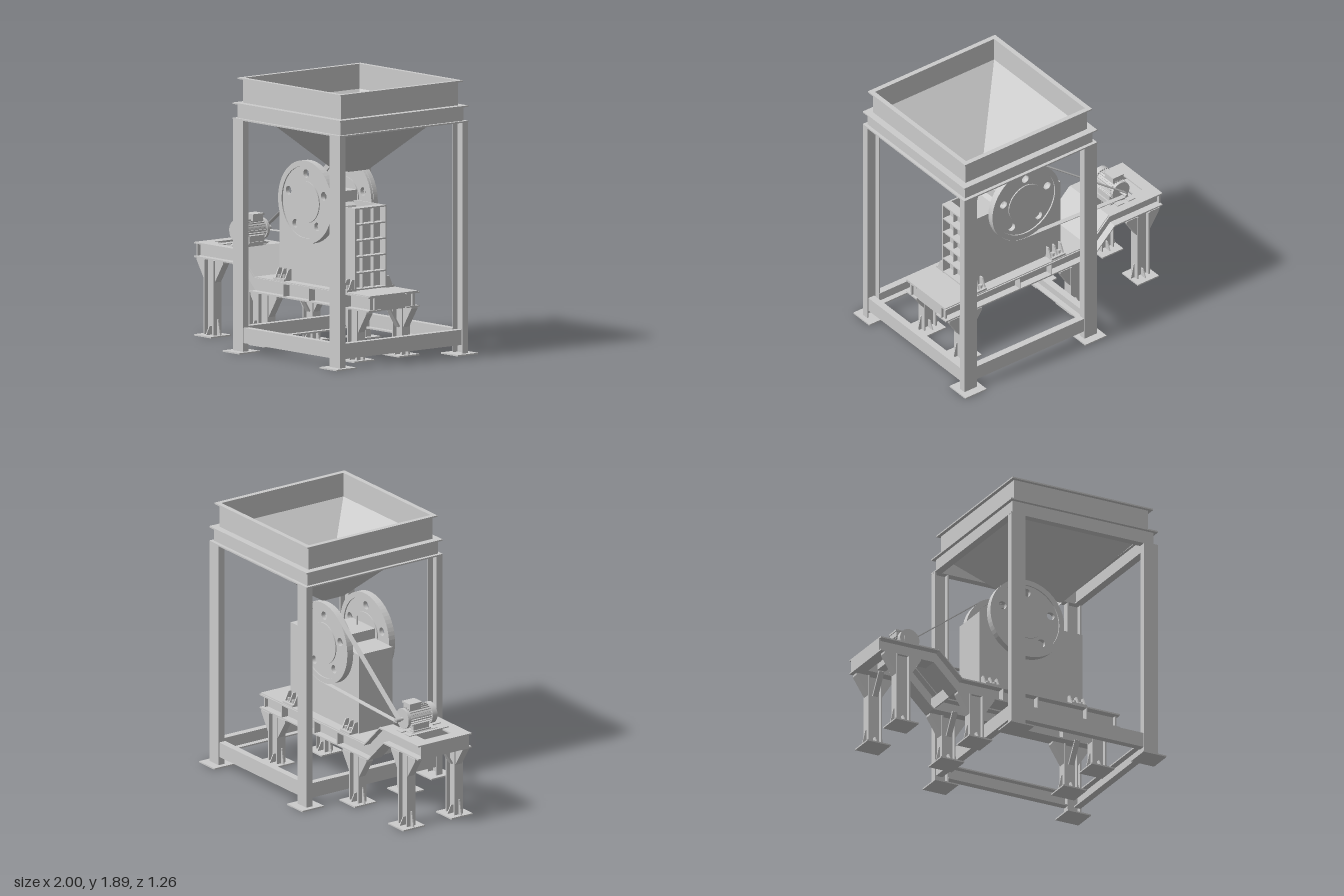
import * as THREE from 'three';

const grey = new THREE.MeshStandardMaterial({ color: 0xcccccc, side: THREE.DoubleSide });
const flat = new THREE.MeshStandardMaterial({ color: 0xcccccc, side: THREE.DoubleSide, flatShading: true });
const V = (x, y, z) => new THREE.Vector3(x, y, z);

export function createModel() {
  const model = new THREE.Group();

  const add = (name, geo, x = 0, y = 0, z = 0, mat = grey) => {
    const m = new THREE.Mesh(geo, mat);
    m.name = name;
    m.position.set(x, y, z);
    model.add(m);
    return m;
  };
  // box given by its limits
  const box = (name, x0, x1, y0, y1, z0, z1) =>
    add(name, new THREE.BoxGeometry(x1 - x0, y1 - y0, z1 - z0), (x0 + x1) / 2, (y0 + y1) / 2, (z0 + z1) / 2);
  const extrude = (shape, depth) =>
    new THREE.ExtrudeGeometry(shape, { depth, bevelEnabled: false, curveSegments: 32 });
  const poly = (pts) => new THREE.Shape(pts.map((p) => new THREE.Vector2(p[0], p[1])));
  // side profile in x/y, extruded between two z values
  const plate = (name, pts, z0, z1) => add(name, extrude(poly(pts), z1 - z0), 0, 0, z0);
  // U-section: starts at p, runs along dir, open towards `open`
  const channel = (name, p, dir, open, len, depth, width, t = 0.01) => {
    const h = depth / 2;
    const g = extrude(poly([[0, -h], [width, -h], [width, -h + t], [t, -h + t],
      [t, h - t], [width, h - t], [width, h], [0, h]]), len);
    g.applyMatrix4(new THREE.Matrix4().makeBasis(open, dir.clone().cross(open), dir));
    return add(name, g, p.x, p.y, p.z);
  };
  // horizontal square ring
  const ring = (name, cx, y, height, half, width) => {
    const sq = (h) => [[-h, -h], [h, -h], [h, h], [-h, h]];
    const s = poly(sq(half));
    s.holes.push(poly(sq(half - width)));
    return add(name, extrude(s, height).rotateX(-Math.PI / 2), cx, y, 0);
  };

  // --- Tower under the hopper ---
  const CX = 0.393;
  for (const sx of [-1, 1]) {
    for (const sz of [-1, 1]) {
      const x = CX + sx * 0.514;
      channel('towerColumn', V(x, 0, sz * 0.57), V(0, 1, 0), V(0, 0, -sz), 1.6, 0.108, 0.05);
      box('towerFootPlate', x - 0.09, x + 0.09, 0, 0.01, sz * 0.54 - 0.09, sz * 0.54 + 0.09);
    }
    channel('towerSideBeam', V(CX + sx * 0.56, 0.122, -0.52), V(0, 0, 1), V(-sx, 0, 0), 1.04, 0.105, 0.05);
    channel('towerLongBeam', V(-0.07, 0.122, sx * 0.565), V(1, 0, 0), V(0, 0, -sx), 0.926, 0.105, 0.05);
  }
  ring('topFrameLowerFlange', CX, 1.6, 0.01, 0.57, 0.055);
  ring('topFrameWeb', CX, 1.61, 0.095, 0.546, 0.012);
  ring('topFrameUpperFlange', CX, 1.705, 0.01, 0.57, 0.055);

  // --- Hopper ---
  ring('hopperCollar', CX, 1.715, 0.165, 0.52, 0.01);
  ring('hopperLip', CX, 1.877, 0.01, 0.545, 0.035);
  const funnel = new THREE.CylinderGeometry(0.518 * Math.SQRT2, 0.087 * Math.SQRT2, 0.455, 4, 1, true);
  add('hopperFunnel', funnel.rotateY(Math.PI / 4), CX, 1.4925, 0, flat);

  // --- Stepped base frame: two I-beams following the step ---
  const topLine = [[-1, 0.63], [-0.545, 0.63], [-0.365, 0.455], [0.855, 0.455]];
  const lowLine = [[-1, 0.525], [-0.59, 0.525], [-0.41, 0.35], [0.855, 0.35]];
  const strip = (name, line, t, z0, z1) =>
    plate(name, [...line, ...line.map(([x, y]) => [x, y + t]).reverse()], z0, z1);
  for (const s of [-1, 1]) {
    const [a, b] = [s * 0.11, s * 0.225].sort((p, q) => p - q);
    strip('beamTopFlange', topLine, -0.01, a, b);
    strip('beamBottomFlange', lowLine, 0.01, a, b);
    plate('beamWeb', [...topLine, ...[...lowLine].reverse()], s * 0.168 - 0.005, s * 0.168 + 0.005);
    for (const x of [-0.05, 0.22, 0.6]) box('webStiffener', x - 0.004, x + 0.004, 0.36, 0.446, a, b);
  }
  channel('endCrossBeam', V(-1, 0.5775, -0.2), V(0, 0, 1), V(1, 0, 0), 0.4, 0.105, 0.085);
  channel('endCrossBeam', V(0.84, 0.4025, -0.2), V(0, 0, 1), V(-1, 0, 0), 0.4, 0.105, 0.06);
  box('stepCrossPlate', -0.4, -0.39, 0.36, 0.45, -0.168, 0.168);
  strip('deck', topLine.slice(1), 0.006, -0.215, 0.215);

  // --- Legs with gussets and braces ---
  for (const [x, top] of [[-0.83, 0.525], [-0.26, 0.35], [0.69, 0.35]]) {
    for (const s of [-1, 1]) {
      const z = s * 0.2;
      box('legFootPlate', x - 0.09, x + 0.09, 0, 0.01, z - 0.09, z + 0.09);
      box('legWeb', x - 0.045, x + 0.045, 0.01, top, z - 0.005, z + 0.005);
      for (const d of [-1, 1]) {
        box('legFlange', x + d * 0.048 - 0.005, x + d * 0.048 + 0.005, 0.01, top, z - 0.035, z + 0.035);
        plate('footGusset', [[x + d * 0.053, 0.01], [x + d * 0.085, 0.01], [x + d * 0.06, 0.12],
          [x + d * 0.053, 0.12]], z - 0.004, z + 0.004);
        plate('upperGusset', [[x + d * 0.053, top - 0.15], [x + d * 0.14, top - 0.015], [x + d * 0.14, top],
          [x + d * 0.053, top]], z - 0.03, z + 0.025);
        // gussets lying across the frame
        const g = extrude(poly([[0, 0], [0.05, 0], [0.02, 0.06], [0, 0.06]]), 0.008).rotateY(-d * Math.PI / 2);
        add('footRib', g, x + d * 0.004, 0.01, z + d * 0.01);
      }
      const len = Math.hypot(0.09, 0.15);
      const brace = add('legBrace', new THREE.BoxGeometry(0.04, len, 0.012), x, top - 0.075, s * 0.125);
      brace.rotation.x = -s * Math.atan2(0.09, 0.15);
    }
  }

  // --- Crusher body ---
  for (const s of [-1, 1]) {
    box('bodySidePlate', -0.19, 0.61, 0.455, 1.03, s * 0.135 - 0.006, s * 0.135 + 0.006);
    // bolted hold-down brackets
    for (const x of [-0.12, 0.55]) {
      const [a, b] = [s * 0.141, s * 0.21].sort((p, q) => p - q);
      box('bracketBase', x - 0.058, x + 0.058, 0.458, 0.475, a, b);
      for (const d of [-1, 0, 1]) {
        const g = extrude(poly([[0, 0], [s * 0.06, 0], [s * 0.025, 0.075], [0, 0.075]]), 0.01);
        add('bracketRib', g.rotateY(-Math.PI / 2), x + d * 0.052 + 0.005, 0.465, s * 0.141);
      }
      for (const d of [-1, 1])
        add('bracketBolt', new THREE.CylinderGeometry(0.012, 0.012, 0.03, 6), x + d * 0.026, 0.485, s * 0.18);
    }
    add('liftingBolt', new THREE.CylinderGeometry(0.006, 0.006, 0.07, 8), 0.155, 1.13, s * 0.09);
  }
  box('bodyBackPlate', -0.19, -0.178, 0.455, 1.03, -0.135, 0.135);
  box('bodyFrontPlate', 0.54, 0.552, 0.455, 1.03, -0.135, 0.135);
  box('bodyCover', -0.19, 0.27, 1.015, 1.03, -0.135, 0.135);
  for (let i = 0; i < 6; i++) box('frontRib', 0.55, 0.61, 0.465 + i * 0.111, 0.475 + i * 0.111, -0.135, 0.135);
  for (const z of [-0.05, 0.05]) box('frontUprightRib', 0.55, 0.585, 0.47, 1.025, z - 0.004, z + 0.004);
  plate('swingJaw', [[0.27, 1.02], [0.31, 1.0], [0.47, 0.5], [0.4, 0.5], [0.2, 0.95]], -0.12, 0.12);
  box('bearingHousing', 0.02, 0.29, 1.03, 1.1, -0.145, 0.145);

  // --- Flywheels ---
  const WX = 0.15, WY = 1.03, R = 0.286;
  add('mainShaft', new THREE.CylinderGeometry(0.045, 0.045, 0.36, 24).rotateX(Math.PI / 2), WX, WY, 0);
  const disc = (r) => new THREE.Shape().absarc(0, 0, r, 0, Math.PI * 2);
  for (const s of [-1, 1]) {
    const web = disc(0.255);
    for (let i = 0; i < 5; i++) {
      const a = Math.PI / 2 + i * Math.PI * 0.4;
      web.holes.push(new THREE.Path().absarc(Math.cos(a) * 0.196, Math.sin(a) * 0.196, 0.029, 0, Math.PI * 2));
    }
    const rim = disc(R);
    rim.holes.push(disc(0.248));
    add('flywheelWeb', extrude(web, 0.03), WX, WY, s * 0.175 - 0.015);
    add('flywheelRim', extrude(rim, 0.05), WX, WY, s * 0.175 - 0.025);
    add('flywheelHub', new THREE.CylinderGeometry(0.145, 0.145, 0.046, 40).rotateX(Math.PI / 2), WX, WY, s * 0.175);
  }

  // --- Drive belt around the rear flywheel and the motor pulley ---
  const MX = -0.705, MY = 0.725;
  const phi = Math.atan2(WY - MY, WX - MX);
  const open = Math.acos(-(R - 0.012) / Math.hypot(WX - MX, WY - MY));
  const loop = (o) => new THREE.Shape()
    .absarc(WX, WY, R + o, phi - open, phi + open)
    .absarc(MX, MY, 0.012 + o, phi + open, phi - open + Math.PI * 2)
    .closePath();
  const belt = loop(0.005);
  belt.holes.push(loop(0.0005));
  add('driveBelt', extrude(belt, 0.036), 0, 0, -0.203);

  // --- Motor on its rails ---
  const along = (name, r, z0, z1, n = 32) =>
    add(name, new THREE.CylinderGeometry(r, r, z1 - z0, n).rotateX(Math.PI / 2), MX, MY, (z0 + z1) / 2);
  along('motorShaft', 0.012, -0.21, -0.14, 16);
  along('motorFlange', 0.072, -0.145, -0.125);
  along('motorBody', 0.062, -0.125, 0.06);
  along('motorFanCover', 0.075, 0.055, 0.095);
  along('motorFanGrille', 0.045, 0.095, 0.1);
  for (let i = 0; i < 24; i++) {
    const a = (i / 24) * Math.PI * 2;
    const fin = add('motorFin', new THREE.BoxGeometry(0.014, 0.004, 0.17), MX + Math.cos(a) * 0.067, MY + Math.sin(a) * 0.067, -0.03);
    fin.rotation.z = a;
  }
  box('terminalBox', MX - 0.04, MX + 0.04, 0.785, 0.825, -0.11, -0.02);
  box('terminalLid', MX - 0.046, MX + 0.046, 0.823, 0.835, -0.116, -0.014);
  for (const d of [-1, 1]) {
    box('motorFoot', MX + d * 0.05 - 0.016, MX + d * 0.05 + 0.016, 0.636, 0.69, -0.1, 0.03);
    box('motorFootPad', MX + d * 0.055 - 0.022, MX + d * 0.055 + 0.022, 0.636, 0.648, -0.11, 0.04);
  }
  for (const x of [-0.815, -0.66])
    channel('motorRail', V(x, 0.606, -0.165), V(0, 0, 1), V(x < MX ? 1 : -1, 0, 0), 0.33, 0.06, 0.06);
  box('motorPlate', -0.79, -0.63, 0.63, 0.638, -0.125, 0.09);

  return model;
}
